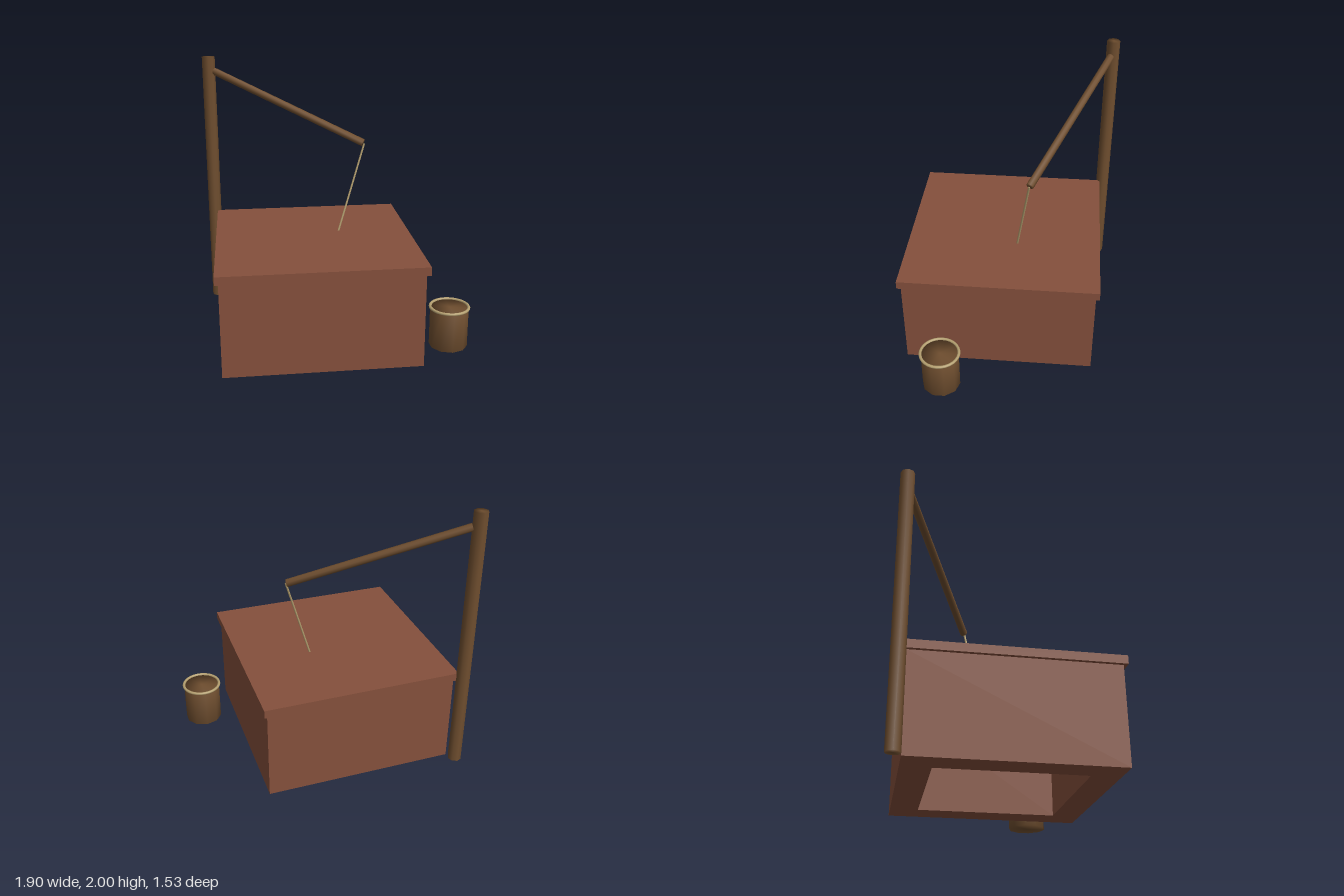
import * as THREE from 'three';
import { mergeVertices } from 'three/addons/utils/BufferGeometryUtils.js';

const material = (name, color) => {
  const m = new THREE.MeshStandardMaterial({ color });
  m.name = name;
  return m;
};

// Capped cylinder whose normals are smoothed across the cap edges.
function smoothCylinder(radius, height, sides) {
  const g = new THREE.CylinderGeometry(radius, radius, height, sides);
  g.deleteAttribute('normal');
  g.deleteAttribute('uv');
  const merged = mergeVertices(g, 1e-5);
  merged.computeVertexNormals();
  return merged;
}

export function createModel() {
  const brick = material('brick', 0x85503c);
  const wood = material('wood', 0x6f4e2f);
  const rope = material('rope', 0xb5a070);
  const water = material('water', 0x274049);
  water.side = THREE.DoubleSide;

  const model = new THREE.Group();
  model.name = 'well';

  const add = (name, geometry, mat, x, y, z) => {
    const mesh = new THREE.Mesh(geometry, mat);
    mesh.name = name;
    mesh.position.set(x, y, z);
    model.add(mesh);
    return mesh;
  };

  // Round bar between two points
  const addBar = (name, from, to, radius, sides, mat) => {
    const a = new THREE.Vector3(...from), b = new THREE.Vector3(...to);
    const dir = b.clone().sub(a);
    const mid = a.clone().add(b).multiplyScalar(0.5);
    const bar = add(name, smoothCylinder(radius, dir.length(), sides), mat, mid.x, mid.y, mid.z);
    bar.quaternion.setFromUnitVectors(new THREE.Vector3(0, 1, 0), dir.normalize());
  };

  const square = (half, Type) => new Type([
    new THREE.Vector2(-half, -half), new THREE.Vector2(half, -half),
    new THREE.Vector2(half, half), new THREE.Vector2(-half, half),
  ]);

  // Hollow square shaft, open at the bottom
  const cx = -0.153, cz = 0.04;
  const outline = square(0.7, THREE.Shape);
  outline.holes.push(square(0.5, THREE.Path));
  const walls = new THREE.ExtrudeGeometry(outline, { depth: 0.69, bevelEnabled: false });
  walls.rotateX(-Math.PI / 2);
  add('shaftWalls', walls, brick, cx, 0, cz);

  // Overhanging slab and the water surface inside
  add('coverSlab', new THREE.BoxGeometry(1.45, 0.06, 1.45), brick, cx, 0.72, cz);
  const surface = new THREE.PlaneGeometry(1, 1);
  surface.rotateX(-Math.PI / 2);
  add('waterSurface', surface, water, cx, 0.45, cz);

  // Post, sloping beam and hanging rope
  addBar('post', [-0.9, 0, -0.71], [-0.9, 2, -0.71], 0.05, 8, wood);
  addBar('beam', [-0.86, 1.888, -0.695], [0.243, 1.405, -0.16], 0.028, 8, wood);
  addBar('rope', [0.25, 1.4, -0.155], [0.036, 0.72, -0.057], 0.008, 6, rope);

  // Bucket with a rope rim
  add('bucket', smoothCylinder(0.14, 0.3, 10), wood, 0.798, 0.15, 0.437);
  const rim = new THREE.TorusGeometry(0.14, 0.011, 8, 28);
  rim.rotateX(Math.PI / 2);
  add('bucketRim', rim, rope, 0.798, 0.302, 0.437);

  return model;
}
